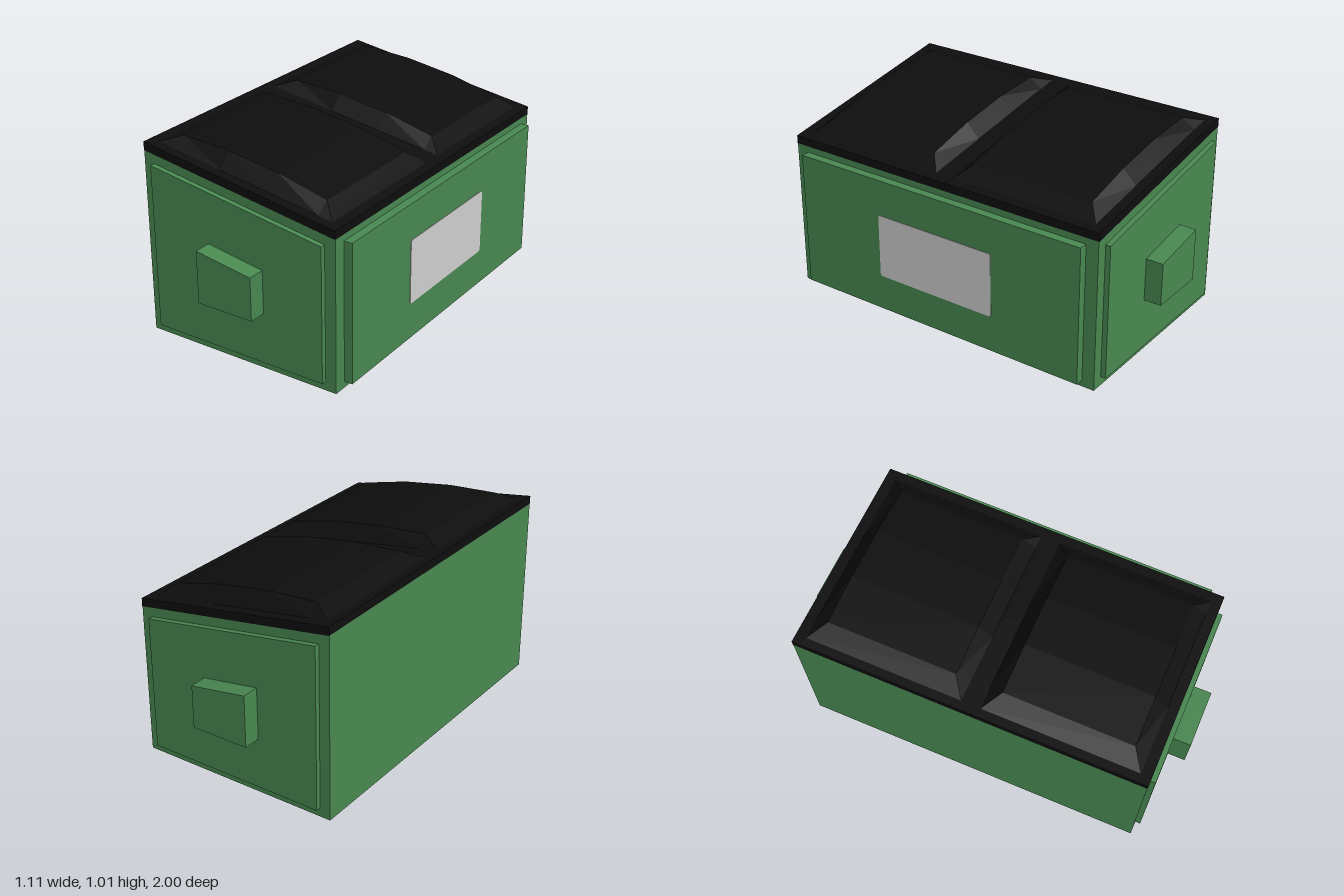
import * as THREE from 'three';

const green = new THREE.MeshStandardMaterial({ color: 0x4a8a52 });
green.name = 'bodyGreen';
const black = new THREE.MeshStandardMaterial({ color: 0x0e0e0e });
black.name = 'lidBlack';
const grey = new THREE.MeshStandardMaterial({ color: 0xd2d2d2 });
grey.name = 'labelGrey';

// Prism from an x/y outline, extruded from z0 to z1
function prism(name, points, z0, z1, material) {
  const shape = new THREE.Shape(points.map(([x, y]) => new THREE.Vector2(x, y)));
  const geometry = new THREE.ExtrudeGeometry(shape, { depth: z1 - z0, bevelEnabled: false });
  geometry.translate(0, 0, z0);
  const mesh = new THREE.Mesh(geometry, material);
  mesh.name = name;
  return mesh;
}

// Height of the sloping lid surface at x
const lidY = (x) => 0.983 - (x + 0.555) * 0.157;

// Raised lid panel with sloping hips, lofted along x
function lidBulge(name, zMin, zMax) {
  const profile = [[-0.51, lidY(-0.51)], [-0.41, 1.008], [-0.15, 0.99],
    [0.125, 0.947], [0.385, 0.882], [0.46, lidY(0.46)]];
  const inset = 0.068;
  const sections = profile.map(([x, y], i) => {
    const d = i === 0 || i === profile.length - 1 ? 0 : inset;
    return [[x, lidY(x), zMin], [x, y, zMin + d], [x, y, zMax - d], [x, lidY(x), zMax]];
  });
  const positions = [];
  for (let i = 0; i < sections.length - 1; i++) {
    const a = sections[i], b = sections[i + 1];
    for (let j = 0; j < 3; j++) {
      positions.push(...a[j], ...a[j + 1], ...b[j + 1], ...a[j], ...b[j + 1], ...b[j]);
    }
  }
  const geometry = new THREE.BufferGeometry();
  geometry.setAttribute('position', new THREE.Float32BufferAttribute(positions, 3));
  geometry.computeVertexNormals();
  const mesh = new THREE.Mesh(geometry, black);
  mesh.name = name;
  return mesh;
}

// Thin rounded plate on the +x face
function labelPlate() {
  const w = 0.335, y0 = 0.22, y1 = 0.555, r = 0.015;
  const s = new THREE.Shape();
  s.moveTo(-w + r, y0);
  s.lineTo(w - r, y0);
  s.quadraticCurveTo(w, y0, w, y0 + r);
  s.lineTo(w, y1 - r);
  s.quadraticCurveTo(w, y1, w - r, y1);
  s.lineTo(-w + r, y1);
  s.quadraticCurveTo(-w, y1, -w, y1 - r);
  s.lineTo(-w, y0 + r);
  s.quadraticCurveTo(-w, y0, -w + r, y0);
  const geometry = new THREE.ExtrudeGeometry(s, { depth: 0.004, bevelEnabled: false, curveSegments: 4 });
  geometry.rotateY(Math.PI / 2);
  geometry.translate(0.552, 0, 0);
  const mesh = new THREE.Mesh(geometry, grey);
  mesh.name = 'label';
  return mesh;
}

export function createModel() {
  const model = new THREE.Group();
  model.name = 'wasteContainer';

  // Sloped container and lid slab
  model.add(prism('body', [[-0.555, 0], [0.51, 0], [0.51, 0.774], [-0.555, 0.94]], -0.885, 0.885, green));
  model.add(prism('lidSlab', [[-0.555, 0.94], [0.51, 0.774], [0.51, lidY(0.51)], [-0.555, lidY(-0.555)]],
    -0.887, 0.887, black));
  model.add(lidBulge('lidPanelFront', 0.048, 0.835));
  model.add(lidBulge('lidPanelBack', -0.835, -0.048));

  // Raised end panels and lifting pockets, mirrored in z
  const panel = [[-0.5, 0.046], [0.453, 0.046], [0.453, 0.735], [-0.5, 0.885]];
  const pocket = [[-0.175, 0.307], [0.13, 0.307], [0.13, 0.527], [-0.175, 0.575]];
  model.add(prism('endPanelFront', panel, 0.88, 0.911, green));
  model.add(prism('endPanelBack', panel, -0.911, -0.88, green));
  model.add(prism('liftPocketFront', pocket, 0.905, 1, green));
  model.add(prism('liftPocketBack', pocket, -1, -0.905, green));

  // Raised panel on the low side, with its label
  model.add(prism('sidePanel', [[0.505, 0.032], [0.553, 0.032], [0.553, 0.742], [0.505, 0.742]], -0.82, 0.82, green));
  model.add(labelPlate());

  return model;
}
